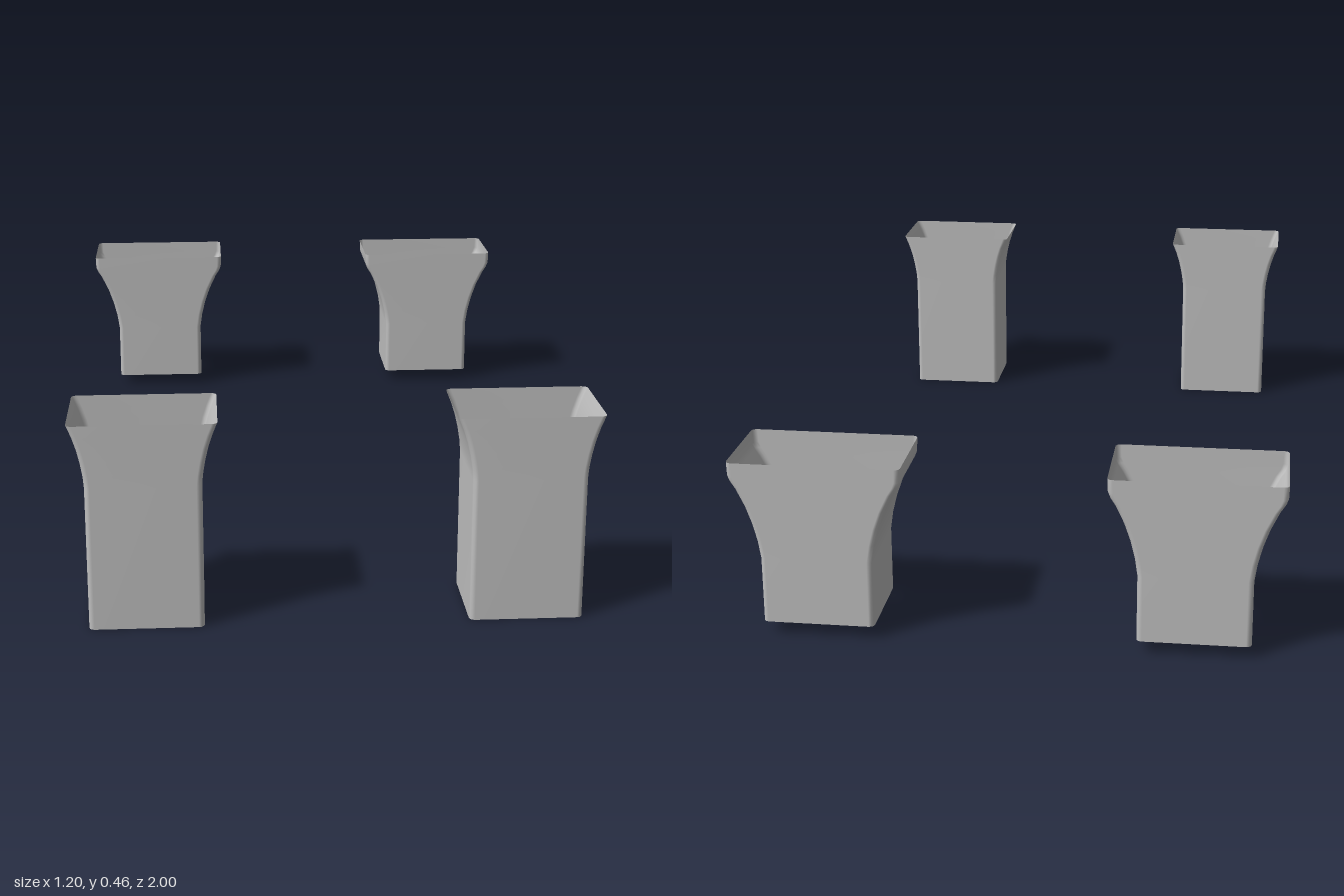
import * as THREE from 'three';

const CORNER = 0.012, STEPS = 3, HALF_DEPTH = 0.1075;

// Rounded rectangle cross-section, counterclockwise seen from above
function ring(halfWidth) {
  const points = [];
  const signs = [[1, 1], [-1, 1], [-1, -1], [1, -1]];
  signs.forEach(([sx, sz], q) => {
    for (let i = 0; i <= STEPS; i++) {
      const a = (q + i / STEPS) * Math.PI / 2;
      points.push([
        sx * (halfWidth - CORNER) + CORNER * Math.cos(a),
        -sz * (HALF_DEPTH - CORNER) - CORNER * Math.sin(a),
      ]);
    }
  });
  return points;
}

// Open sleeve lofted through [halfWidth, y] levels
function sleeveGeometry(profile) {
  const positions = [], index = [];
  const n = 4 * (STEPS + 1);
  profile.forEach(([w, y], j) => {
    ring(w).forEach(([x, z], i) => {
      positions.push(x, y, z);
      if (j === profile.length - 1) return;
      const a = j * n + i, b = j * n + (i + 1) % n;
      index.push(a, b, b + n, a, b + n, a + n);
    });
  });
  const geometry = new THREE.BufferGeometry();
  geometry.setAttribute('position', new THREE.Float32BufferAttribute(positions, 3));
  geometry.setIndex(index);
  geometry.computeVertexNormals();
  return geometry;
}

export function createModel() {
  const group = new THREE.Group();
  const grey = new THREE.MeshStandardMaterial({ color: 0xc0c0c0, side: THREE.DoubleSide });
  grey.name = 'light grey';

  // Tall front sleeve, flaring at the top
  const front = sleeveGeometry([
    [0.124, 0], [0.124, 0.32], [0.126, 0.345], [0.131, 0.375],
    [0.138, 0.405], [0.147, 0.433], [0.158, 0.46],
  ]);
  // Shorter back sleeve, with a wide flare ending in an upright lip
  const back = sleeveGeometry([
    [0.124, 0.03], [0.124, 0.18], [0.130, 0.22], [0.140, 0.26], [0.154, 0.30],
    [0.173, 0.34], [0.184, 0.357], [0.189, 0.37], [0.190, 0.40],
  ]);

  for (const [side, s] of [['left', 1], ['right', -1]]) {
    for (const [end, geometry, z] of [['Front', front, 0.8925], ['Back', back, -0.8925]]) {
      const sleeve = new THREE.Mesh(geometry, grey);
      sleeve.name = `${side}${end}LegSleeve`;
      sleeve.position.set(s * 0.411, 0, z);
      group.add(sleeve);
    }
  }
  return group;
}
